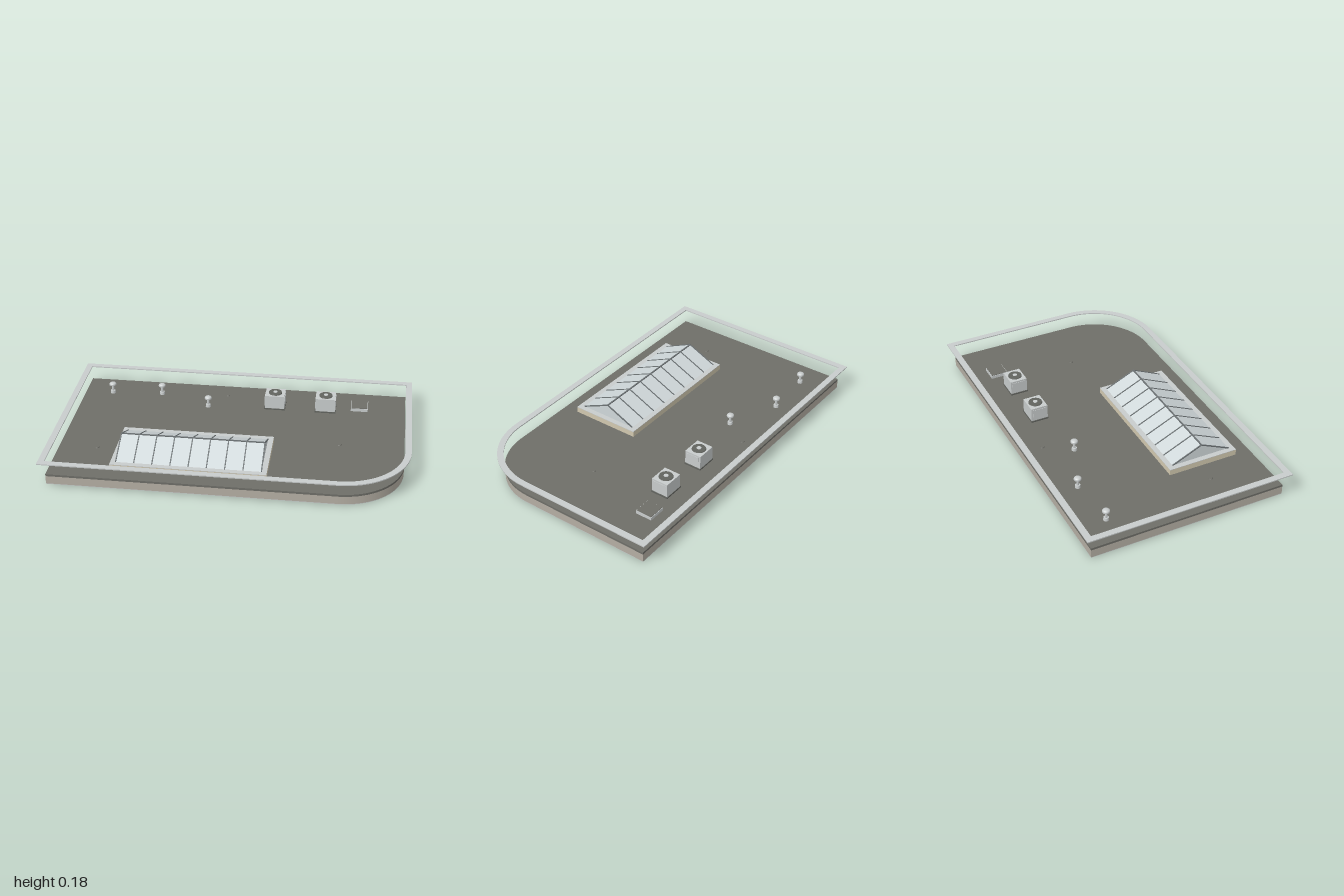
import * as THREE from 'three';
import { toCreasedNormals } from 'three/addons/utils/BufferGeometryUtils.js';

const mat = (name, color) => Object.assign(new THREE.MeshStandardMaterial({ color }), { name });

export function createModel() {
  const concrete = mat('concrete', 0xb4aea3);
  const membrane = mat('roof membrane', 0x6e6e68);
  const metal = mat('light metal', 0xc8cccc);
  const curbPaint = mat('curb cream', 0xd2c9b0);
  const glass = mat('glass', 0xd0d8da);
  const frame = mat('glazing bar', 0x6c7274);
  const dark = mat('dark grille', 0x62645f);

  const root = new THREE.Group();
  root.name = 'flatRoof';

  const add = (parent, name, geometry, material, x = 0, y = 0, z = 0) => {
    const m = new THREE.Mesh(geometry, material);
    m.name = name;
    m.position.set(x, y, z);
    parent.add(m);
    return m;
  };
  // Box given by its bottom height
  const box = (parent, name, w, h, d, material, x, bottom, z) =>
    add(parent, name, new THREE.BoxGeometry(w, h, d), material, x, bottom + h / 2, z);
  const cyl = (parent, name, rTop, rBottom, h, material, x, bottom, z) =>
    add(parent, name, new THREE.CylinderGeometry(rTop, rBottom, h, 24), material, x, bottom + h / 2, z);
  const group = (name, x = 0, y = 0, z = 0) => {
    const g = new THREE.Group();
    g.name = name;
    g.position.set(x, y, z);
    root.add(g);
    return g;
  };

  // Rectangular outline with one rounded corner at +x, +z (shape y becomes z)
  const trace = (path, hx, hz, r) => {
    path.moveTo(-hx, -hz);
    path.lineTo(hx, -hz);
    path.lineTo(hx, hz - r);
    path.absarc(hx - r, hz - r, r, 0, Math.PI / 2, false);
    path.lineTo(-hx, hz);
    path.closePath();
    return path;
  };
  const plate = (shape, bottom, top) => {
    const g = new THREE.ExtrudeGeometry(shape, { depth: top - bottom, bevelEnabled: false, curveSegments: 32 });
    g.rotateX(Math.PI / 2).translate(0, top, 0);
    return toCreasedNormals(g, 0.5);
  };
  const outline = () => trace(new THREE.Shape(), 0.965, 0.565, 0.35);

  // Layers of the roof
  add(root, 'soffit', plate(outline(), 0.004, 0.007), metal);
  add(root, 'slab', plate(outline(), 0.007, 0.053), concrete);
  add(root, 'roofMembrane', plate(outline(), 0.053, 0.065), membrane);

  // Raised coping rim
  const rim = trace(new THREE.Shape(), 1, 0.6, 0.385);
  rim.holes.push(trace(new THREE.Path(), 0.965, 0.565, 0.35));
  add(root, 'coping', plate(rim, 0.143, 0.149), metal);

  // Ceiling panels under the skylight
  for (let i = 0; i < 4; i++) {
    box(root, 'ceilingPanel', 0.194, 0.004, 0.35, metal, -0.5 + i * 0.2, 0, 0.275);
  }

  // Gabled skylight
  const sky = group('skylight', -0.2, 0.065, 0.272);
  box(sky, 'skylightCurb', 0.86, 0.032, 0.41, curbPaint, 0, 0, 0);
  box(sky, 'skylightCurbCap', 0.86, 0.003, 0.41, metal, 0, 0.032, 0);
  const gable = new THREE.Shape();
  gable.moveTo(-0.175, 0);
  gable.lineTo(0.175, 0);
  gable.lineTo(0, 0.08);
  gable.closePath();
  const prism = new THREE.ExtrudeGeometry(gable, { depth: 0.8, bevelEnabled: false });
  prism.rotateY(Math.PI / 2).translate(-0.4, 0.035, 0);
  add(sky, 'skylightGlass', prism, glass);
  const slope = Math.atan2(0.08, 0.175);
  const length = Math.hypot(0.08, 0.175);
  for (let i = 0; i <= 8; i++) {
    for (const s of [-1, 1]) {
      const bar = box(sky, 'glazingBar', 0.006, 0.006, length, frame, -0.4 + i * 0.1, 0.072, s * 0.0875);
      bar.rotation.x = s * slope;
    }
  }
  box(sky, 'ridgeBar', 0.806, 0.006, 0.008, frame, 0, 0.112, 0);

  // Air handling units with roof fans
  for (const x of [0.195, 0.495]) {
    const unit = group('airUnit', x, 0.065, -0.36);
    box(unit, 'unitBase', 0.125, 0.008, 0.105, dark, 0, 0, 0);
    box(unit, 'unitBody', 0.115, 0.08, 0.1, metal, 0, 0.008, 0);
    for (const s of [-1, 1]) {
      box(unit, 'unitSideGrille', 0.004, 0.06, 0.08, metal, s * 0.058, 0.018, 0);
    }
    cyl(unit, 'fanGrille', 0.038, 0.04, 0.005, dark, 0, 0.088, 0);
    cyl(unit, 'fanHub', 0.013, 0.013, 0.004, metal, 0, 0.092, 0);
  }

  // Mushroom vents
  for (const [x, z] of [[-0.8, -0.4], [-0.5, -0.42], [-0.2, -0.3]]) {
    const vent = group('roofVent', x, 0.065, z);
    cyl(vent, 'ventCollar', 0.014, 0.016, 0.016, metal, 0, 0, 0);
    cyl(vent, 'ventPipe', 0.007, 0.007, 0.05, metal, 0, 0.014, 0);
    cyl(vent, 'ventCapRim', 0.021, 0.021, 0.006, metal, 0, 0.053, 0);
    const dome = new THREE.SphereGeometry(0.021, 24, 8, 0, Math.PI * 2, 0, Math.PI / 2).scale(1, 0.55, 1);
    add(vent, 'ventCap', dome, metal, 0, 0.059, 0);
  }

  // Access hatch
  const hatch = group('hatch', 0.695, 0.065, -0.4);
  box(hatch, 'hatchCurb', 0.1, 0.018, 0.1, metal, 0, 0, 0);
  box(hatch, 'hatchLid', 0.094, 0.003, 0.094, membrane, 0, 0.018, 0);

  // Roof drains
  for (const [x, z] of [[-0.75, 0.25], [-0.1, -0.45], [0.6, 0.05]]) {
    cyl(root, 'roofDrain', 0.01, 0.012, 0.004, membrane, x, 0.065, z);
  }

  return root;
}
